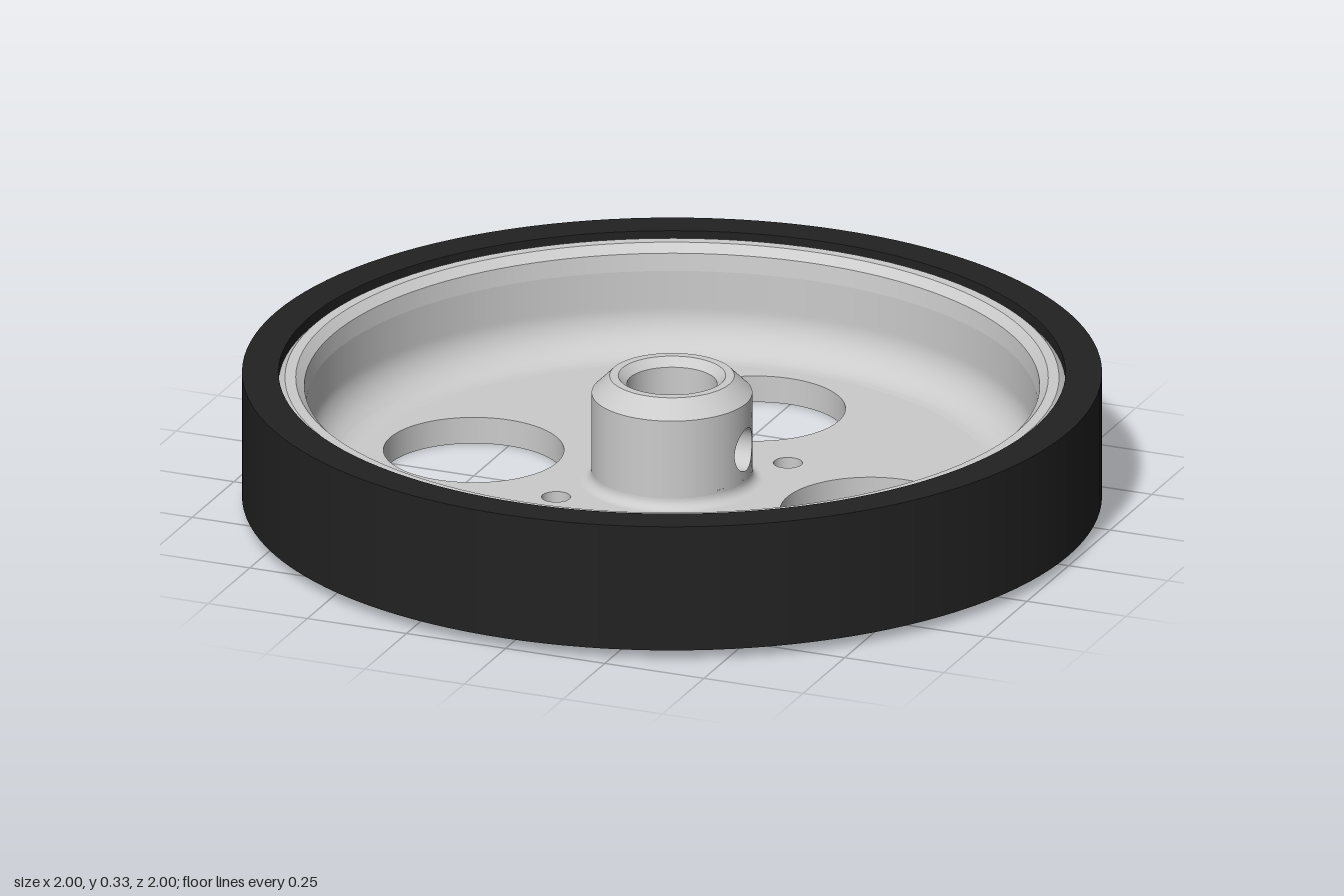
import * as THREE from 'three';
import { mergeGeometries } from 'three/addons/utils/BufferGeometryUtils.js';

const SEG = 128, STEP = (Math.PI * 2) / SEG;
const FLOOR = 0.065, SCREW_Y = 0.168;

// Smooth surface of revolution; a rising profile faces outward
const lathe = (pts, ...arc) =>
  new THREE.LatheGeometry(pts.map(p => new THREE.Vector2(...p)), ...(arc.length ? arc : [SEG]));

// Revolved profile with a sharp edge at every point
const sharpLathe = pts =>
  mergeGeometries(pts.slice(1).map((p, i) => lathe([pts[i], p])));

// Profile points of a radius function sampled between two heights
const sample = (rAt, y0, y1, n = 24) =>
  Array.from({ length: n + 1 }, (_, i) => {
    const y = y0 + ((y1 - y0) * i) / n;
    return [rAt(y), y];
  });

// Disc with round holes [x, z, radius], facing up or down
function plate(radius, y, holes, up) {
  const shape = new THREE.Shape().absarc(0, 0, radius, 0, Math.PI * 2);
  for (const [x, z, r] of holes)
    shape.holes.push(new THREE.Path().absarc(x, up ? -z : z, r, 0, Math.PI * 2, true));
  return new THREE.ShapeGeometry(shape, 64).rotateX(up ? -Math.PI / 2 : Math.PI / 2).translate(0, y, 0);
}

function indexedGeometry(pos, nor, index) {
  const g = new THREE.BufferGeometry();
  g.setAttribute('position', new THREE.Float32BufferAttribute(pos, 3));
  g.setAttribute('normal', new THREE.Float32BufferAttribute(nor, 3));
  g.setIndex(index);
  return g;
}

// Revolved wall with a round hole on the +x side; side is 1 outward, -1 inward
function piercedWall(rAt, halfHeight, halfSegs, holeR, side) {
  const half = halfSegs * STEP, N = 48, M = 8, pos = [], nor = [], index = [];
  for (let i = 0; i <= M; i++) {
    for (let k = 0; k <= N; k++) {
      const t = (k / N) * Math.PI * 2, c = Math.cos(t), s = Math.sin(t);
      const sq = 1 / Math.max(Math.abs(c), Math.abs(s)), f = i / M;
      const inner = Math.asin((holeR * c) / rAt(SCREW_Y + holeR * s));
      const a = inner + (half * c * sq - inner) * f;
      const y = SCREW_Y + s * (holeR + (halfHeight * sq - holeR) * f);
      const r = rAt(y), slope = (rAt(y + 1e-4) - rAt(y - 1e-4)) / 2e-4;
      const len = side * Math.hypot(1, slope);
      pos.push(r * Math.cos(a), y, r * Math.sin(a));
      nor.push(Math.cos(a) / len, -slope / len, Math.sin(a) / len);
      if (i < M && k < N) {
        const p = i * (N + 1) + k, q = p + N + 1;
        if (side < 0) index.push(p, q, p + 1, q, q + 1, p + 1);
        else index.push(p, p + 1, q, q, p + 1, q + 1);
      }
    }
  }
  const rest = lathe(sample(rAt, SCREW_Y - side * halfHeight, SCREW_Y + side * halfHeight),
    SEG - 2 * halfSegs, Math.PI / 2 + half, Math.PI * 2 - 2 * half);
  rest.deleteAttribute('uv');
  return mergeGeometries([rest, indexedGeometry(pos, nor, index)]);
}

// Inside of a radial hole running between two revolved walls
function tunnel(rIn, rOut, holeR) {
  const N = 48, pos = [], nor = [], index = [];
  for (let k = 0; k <= N; k++) {
    const t = (k / N) * Math.PI * 2, z = holeR * Math.cos(t), y = SCREW_Y + holeR * Math.sin(t);
    for (const rAt of [rIn, rOut]) {
      pos.push(Math.sqrt(rAt(y) ** 2 - z * z), y, z);
      nor.push(0, -Math.sin(t), -Math.cos(t));
    }
    if (k < N) index.push(2 * k, 2 * k + 2, 2 * k + 1, 2 * k + 2, 2 * k + 3, 2 * k + 1);
  }
  return indexedGeometry(pos, nor, index);
}

export function createModel() {
  const model = new THREE.Group();
  const metal = new THREE.MeshStandardMaterial({ color: 0xcccccc });
  const rubber = new THREE.MeshStandardMaterial({ color: 0x222222 });
  const add = (name, geometry, material = metal) => {
    const mesh = new THREE.Mesh(geometry, material);
    mesh.name = name;
    model.add(mesh);
  };

  // Tyre
  add('tyre', sharpLathe([[0.915, 0.025], [1, 0.025], [1, 0.333], [0.915, 0.333], [0.915, 0.025]]), rubber);

  // Rim edges
  add('rimLowerChamfer', sharpLathe([[0.895, 0], [0.915, 0.025]]));
  add('rimLip', sharpLathe([[0.915, 0.305], [0.9, 0.32], [0.875, 0.32], [0.855, 0.3], [0.85, 0.258]]));

  // Inner rim wall, rounded into the floor, with an access hole
  const R = 0.1;
  const rimAt = y => 0.85 - R + Math.sqrt(R * R - Math.min(R, Math.max(0, FLOOR + R - y)) ** 2);
  add('rimWall', piercedWall(rimAt, 0.09, 3, 0.077, -1));
  add('rimFillet', lathe(sample(rimAt, 0.078, FLOOR, 12)));
  add('rimAccessHole', tunnel(rimAt, () => 0.915, 0.077));

  // Floor with four large and four small holes
  const holes = [];
  for (let i = 0; i < 4; i++) {
    const a = (i * Math.PI) / 2, b = a + Math.PI / 4;
    holes.push([0.5 * Math.cos(a), 0.5 * Math.sin(a), 0.21]);
    holes.push([0.291 * Math.cos(b), 0.291 * Math.sin(b), 0.034]);
  }
  add('floorTop', plate(0.75, FLOOR, [...holes, [0, 0, 0.212]], true));
  add('floorBottom', plate(0.895, 0, [...holes, [0, 0, 0.125]], false));
  for (const [x, z, r] of holes)
    add('floorHoleWall', lathe([[r, FLOOR], [r, 0]]).translate(x, 0, z));

  // Hub with a base fillet, chamfered top and set screw hole
  const F = 0.025, hubAt = () => 0.187, boreAt = () => 0.105;
  const fillet = Array.from({ length: 9 }, (_, i) => {
    const a = (i / 8) * Math.PI / 2;
    return [0.187 + F - F * Math.sin(a), FLOOR + F - F * Math.cos(a)];
  });
  add('hubFillet', lathe(fillet));
  add('hubBase', lathe([[0.187, 0.09], [0.187, 0.098]]));
  add('hubWall', piercedWall(hubAt, 0.07, 12, 0.052, 1));
  add('hubTop', sharpLathe([[0.187, 0.238], [0.187, 0.283], [0.145, 0.325], [0.125, 0.325],
    [0.105, 0.305], [0.105, 0.238]]));
  add('boreWall', piercedWall(boreAt, 0.07, 12, 0.052, -1));
  add('boreLower', sharpLathe([[0.105, 0.098], [0.105, 0.02], [0.125, 0]]));
  add('setScrewHole', tunnel(boreAt, hubAt, 0.052));

  return model;
}
